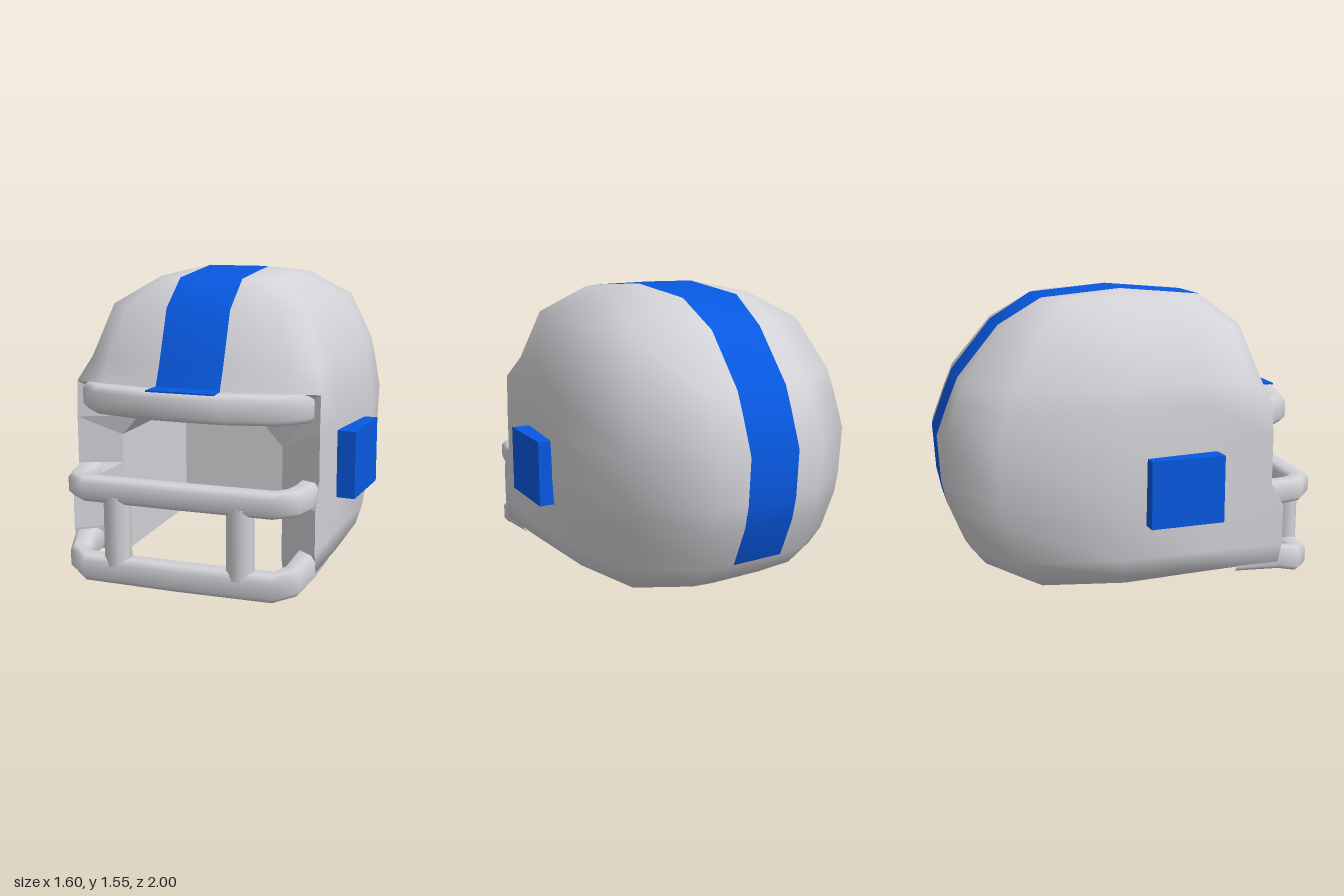
import * as THREE from 'three';

const grey = new THREE.MeshStandardMaterial({ color: 0xd3d2d7 });
grey.name = 'shell grey';
const blue = new THREE.MeshStandardMaterial({ color: 0x0758e0 });
blue.name = 'stripe blue';

// Horizontal shell rings: height, half width, front z, back z, cheek edge z
const rows = [
  [1.51, 0.36, 0.45, -0.43],
  [1.37, 0.60, 0.64, -0.66],
  [1.10, 0.705, 0.745, -0.88],
  [0.98, 0.725, 0.80, -0.93, 0.70],
  [0.79, 0.75, 0.80, -1.00, 0.71],
  [0.54, 0.742, 0.80, -0.985, 0.71],
  [0.42, 0.735, 0.80, -0.96, 0.78],
  [0.20, 0.70, 0.80, -0.87, 0.78],
  [0.10, 0.67, 0.80, -0.79, 0.76],
  [0.04, 0.60, 0.80, -0.68, 0.60],
];
const BROW = 3, STRIPE_END = 7, COLS = 16, last = rows.length - 1;

// Head cavity: half width, roof half width, shoulder, roof, front z, back z
const CAV = { w: 0.44, roofW: 0.34, shoulder: 0.69, roof: 0.8, front: 0.62, back: -0.28, floor: 0.04 };

// One ring of 16 points: front stripe edge, round the left side, back, and mirrored
function ring([y, w, zf, zb, cheek], r) {
  const side = r >= BROW && r < last;
  const half = [
    [0.17, zf],
    [0.68 * w, 0.93 * zf],
    [side ? 0.655 : 0.87 * w, cheek ?? 0.8 * zf],
    [side ? 0.67 : 0.91 * w, 0.45 * zf],
    [w, 0.12 * zb],
    [0.88 * w, 0.75 * zb],
    [Math.max(0.43 * w, 0.2), 0.98 * zb],
    [r === 0 ? 0.17 : 0.15, zb],
  ];
  const right = half.slice().reverse().map(([x, z]) => [-x, z]);
  return [...half, ...right].map(([x, z]) => [x, y, z]);
}

const outer = rows.flatMap(ring);
outer.push([0.17, 1.55, 0], [-0.17, 1.55, 0]);

function geometry(points, index) {
  const g = new THREE.BufferGeometry();
  g.setAttribute('position', new THREE.Float32BufferAttribute(points.flat(), 3));
  g.setIndex(index);
  g.computeVertexNormals();
  return g;
}

function flatGeometry(points, index) {
  const g = geometry(points, index).toNonIndexed();
  g.computeVertexNormals();
  return g;
}

// Shell faces, sorted into plain and stripe
function shellGeometry() {
  const plain = [], stripe = [];
  const at = (r, c) => r * COLS + (c % COLS);
  for (let r = 0; r < last; r++) {
    for (let c = 0; c < COLS; c++) {
      if (r >= BROW && (c < 2 || c > 12)) continue; // face opening
      const striped = (c === 7 && r < STRIPE_END) || c === 15;
      const a = at(r, c), b = at(r, c + 1), e = at(r + 1, c + 1), d = at(r + 1, c);
      (striped ? stripe : plain).push(a, d, e, a, e, b);
    }
  }
  // crown: a fan on each side and the stripe across the middle
  const L = rows.length * COLS, R = L + 1;
  for (let c = 0; c < 7; c++) {
    plain.push(L, c, c + 1, R, c + 8, c + 9);
  }
  stripe.push(L, R, 15, L, 15, 0, L, 7, 8, L, 8, R);
  const g = geometry(outer, [...plain, ...stripe]);
  g.addGroup(0, plain.length, 0);
  g.addGroup(plain.length, stripe.length, 1);
  return g;
}

// Point on the cavity edge that a shell rim point joins to
function cavityEdge([x, y, z]) {
  const s = Math.sign(x);
  if (y > 0.9) return [s * Math.min(Math.abs(x), CAV.roofW), CAV.roof, CAV.front];
  if (y > 0.05) return [s * CAV.w, Math.min(y, CAV.shoulder), CAV.front];
  return [s * Math.min(Math.abs(x), CAV.w), CAV.floor, Math.min(CAV.front, Math.max(z, CAV.back))];
}

// Rim and underside between the shell and the cavity
function rimGeometry() {
  const loop = [];
  for (let r = BROW; r < last; r++) loop.push(r * COLS + 2);
  for (let c = 2; c <= 13; c++) loop.push(last * COLS + c);
  for (let r = last - 1; r >= BROW; r--) loop.push(r * COLS + 13);
  for (const c of [14, 15, 0, 1]) loop.push(BROW * COLS + c);
  const edge = loop.map(k => outer[k]), n = loop.length, idx = [];
  for (let i = 0; i < n; i++) {
    const j = (i + 1) % n;
    idx.push(i, n + i, n + j, i, n + j, j);
  }
  return flatGeometry([...edge, ...edge.map(cavityEdge)], idx);
}

// Inside walls, chamfered roof and back of the cavity
function cavityGeometry() {
  const half = [[CAV.w, CAV.floor], [CAV.w, CAV.shoulder], [CAV.roofW, CAV.roof]];
  const profile = [...half, ...half.slice().reverse().map(([x, y]) => [-x, y])];
  const n = profile.length, idx = [];
  const pts = [CAV.front, CAV.back].flatMap(z => profile.map(([x, y]) => [x, y, z]));
  for (let i = 0; i < n - 1; i++) {
    idx.push(i, i + 1, n + i + 1, i, n + i + 1, n + i);
    if (i > 0) idx.push(n, n + i, n + i + 1);
  }
  return flatGeometry(pts, idx);
}

// Bar with a rounded section, following half a path that is mirrored in x
function bar(half, thick, high) {
  const path = [...half, ...half.slice(0, -1).reverse().map(([x, y, z]) => [-x, y, z])];
  const section = [[1, -0.6], [1, 0.6], [0.6, 1], [-0.6, 1], [-1, 0.6], [-1, -0.6], [-0.6, -1], [0.6, -1]];
  const pts = [], idx = [], M = section.length;
  path.forEach(([x, y, z], i) => {
    const p = path[Math.max(i - 1, 0)], q = path[Math.min(i + 1, path.length - 1)];
    const tx = q[0] - p[0], tz = q[2] - p[2], len = Math.hypot(tx, tz);
    for (const [u, v] of section) {
      pts.push([x - (tz / len) * u * thick, y + v * high, z + (tx / len) * u * thick]);
    }
    if (i === path.length - 1) return;
    for (let j = 0; j < M; j++) {
      const a = i * M + j, b = i * M + (j + 1) % M;
      idx.push(a, a + M, b + M, a, b + M, b);
    }
  });
  return geometry(pts, idx);
}

export function createModel() {
  const group = new THREE.Group();
  group.name = 'helmet';
  const add = (name, geo, mat) => {
    const m = new THREE.Mesh(geo, mat);
    m.name = name;
    group.add(m);
    return m;
  };

  add('shell', shellGeometry(), [grey, blue]);
  add('rim', rimGeometry(), grey);
  add('headCavity', cavityGeometry(), grey);

  // Brow and face guard bars
  add('browBar', bar([[0.585, 0.91, 0.55], [0.55, 0.91, 0.69], [0.46, 0.91, 0.78], [0.2, 0.912, 0.845], [0, 0.915, 0.86]], 0.07, 0.072), grey);
  add('middleBar', bar([[0.6, 0.48, 0.6], [0.59, 0.48, 0.78], [0.565, 0.48, 0.87], [0.49, 0.48, 0.935], [0, 0.48, 0.94]], 0.06, 0.061), grey);
  add('jawBar', bar([[0.6, 0.13, 0.52], [0.595, 0.12, 0.77], [0.565, 0.085, 0.87], [0.49, 0.068, 0.935], [0, 0.066, 0.94]], 0.06, 0.067), grey);

  // End of the stripe, lying on the brow bar
  const tip = new THREE.Shape([[-0.17, 0.78], [0.17, 0.78], [0.18, 0.905], [-0.18, 0.905]].map(p => new THREE.Vector2(...p)));
  const tipGeo = new THREE.ExtrudeGeometry(tip, { depth: 0.008, bevelEnabled: false });
  add('stripeTip', tipGeo.rotateX(Math.PI / 2).translate(0, 0.991, 0), blue);

  for (const s of [1, -1]) {
    // Upright posts of the guard
    const post = add(s > 0 ? 'leftPost' : 'rightPost', new THREE.CylinderGeometry(0.07, 0.07, 0.36, 8), grey);
    post.geometry.rotateY(Math.PI / 8);
    post.position.set(s * 0.325, 0.275, 0.94);
    post.scale.z = 0.9;

    // Ear blocks, angled outward toward the back
    const ear = add(s > 0 ? 'leftEarBlock' : 'rightEarBlock', new THREE.BoxGeometry(0.11, 0.355, 0.4), blue);
    ear.position.set(s * 0.727, 0.565, 0.2);
    ear.rotation.y = -s * 0.08;
  }
  return group;
}
